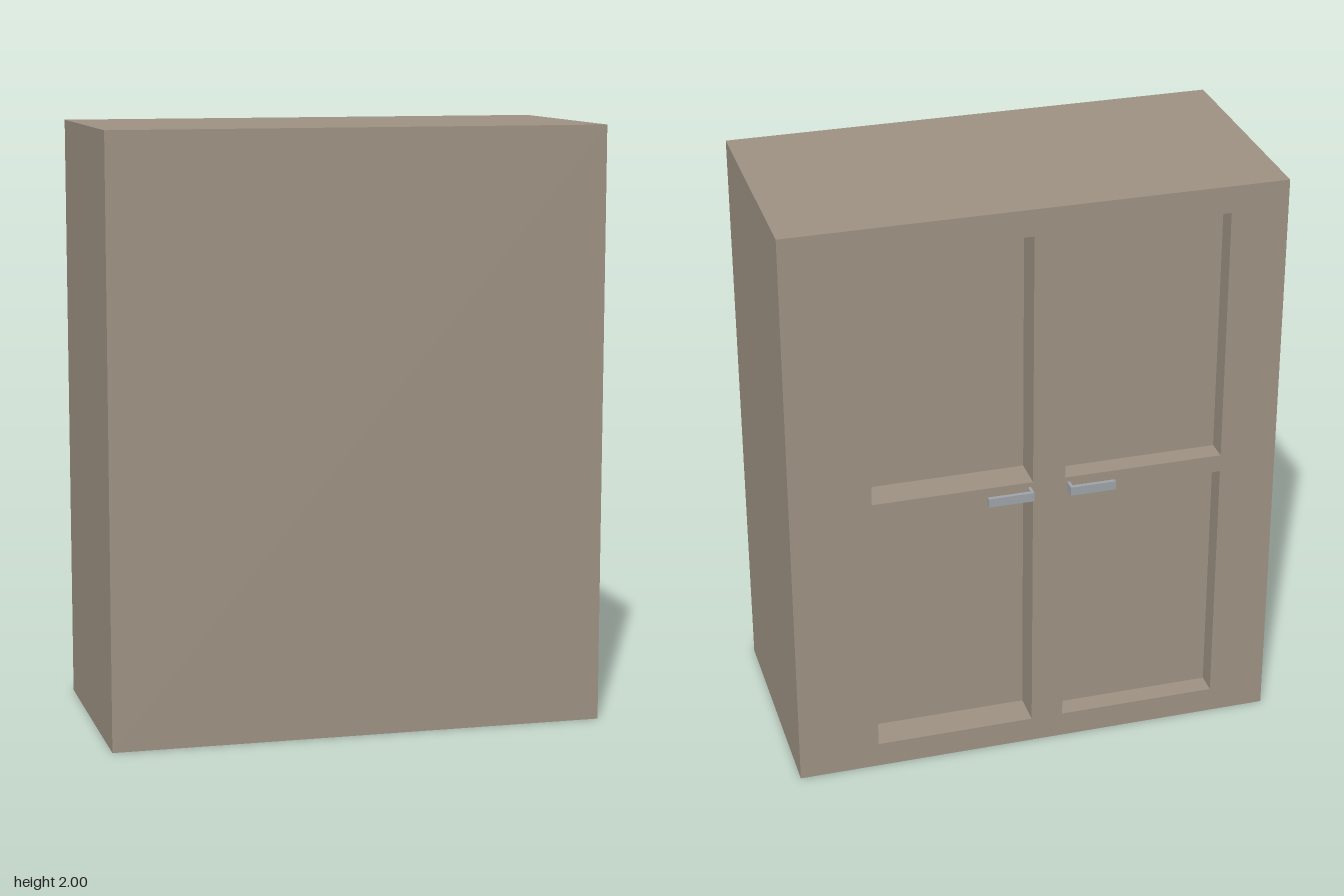
import * as THREE from 'three';

const W = 1.66, H = 2;
const BACK = 0.425, FACE = -0.387;      // plain side and door side (z)
const DEEP = 0.115, SHALLOW = 0.073;    // recess depths of the two doors
const MID = -0.04;                      // line between the doors (x)
const DOORS = [
  { side: 1, name: 'left', depth: DEEP },
  { side: -1, name: 'right', depth: SHALLOW },
];
const ROWS = [[0.088, 0.967], [1.028, 1.908]];
const INNER = 0.055, OUTER = 0.597;     // recess edges measured from MID

export function createModel() {
  const group = new THREE.Group();
  const wood = new THREE.MeshStandardMaterial({ color: 0x9d9182 });
  const metal = new THREE.MeshStandardMaterial({ color: 0x9ea3a8 });

  const box = (parent, name, mat, [x0, x1], [y0, y1], [z0, z1]) => {
    const mesh = new THREE.Mesh(new THREE.BoxGeometry(x1 - x0, y1 - y0, z1 - z0), mat);
    mesh.position.set((x0 + x1) / 2, (y0 + y1) / 2, (z0 + z1) / 2);
    mesh.name = name;
    parent.add(mesh);
  };
  const span = (side, a, b) => [MID + side * a, MID + side * b].sort((p, q) => p - q);

  // Solid carcass behind the door frame
  box(group, 'carcass', wood, [-W / 2, W / 2], [0, H], [FACE + DEEP, BACK]);

  // Door frame with four window-like recesses
  const outline = new THREE.Shape([
    new THREE.Vector2(-W / 2, 0), new THREE.Vector2(W / 2, 0),
    new THREE.Vector2(W / 2, H), new THREE.Vector2(-W / 2, H),
  ]);
  for (const { side } of DOORS) {
    const [x0, x1] = span(side, INNER, OUTER);
    for (const [y0, y1] of ROWS) {
      outline.holes.push(new THREE.Path([
        new THREE.Vector2(x0, y0), new THREE.Vector2(x0, y1),
        new THREE.Vector2(x1, y1), new THREE.Vector2(x1, y0),
      ]));
    }
  }
  const frame = new THREE.Mesh(
    new THREE.ExtrudeGeometry(outline, { depth: DEEP, bevelEnabled: false }), wood);
  frame.position.z = FACE;
  frame.name = 'doorFrame';
  group.add(frame);

  for (const { side, name, depth } of DOORS) {
    // Raised panels fill the shallower recesses
    if (depth < DEEP) {
      ROWS.forEach((row, i) => box(group, `${name}Panel${i + 1}`, wood,
        span(side, INNER, OUTER), row, [FACE + depth, FACE + DEEP]));
    }

    // L-shaped lever handle: stem out of the door, bar pointing outwards
    const handle = new THREE.Group();
    handle.name = `${name}Handle`;
    box(handle, 'stem', metal, span(side, 0.062, 0.072), [0.98, 1.011], [-0.414, FACE]);
    box(handle, 'bar', metal, span(side, 0.062, 0.217), [0.98, 1.011], [-0.428, -0.414]);
    group.add(handle);
  }
  return group;
}
